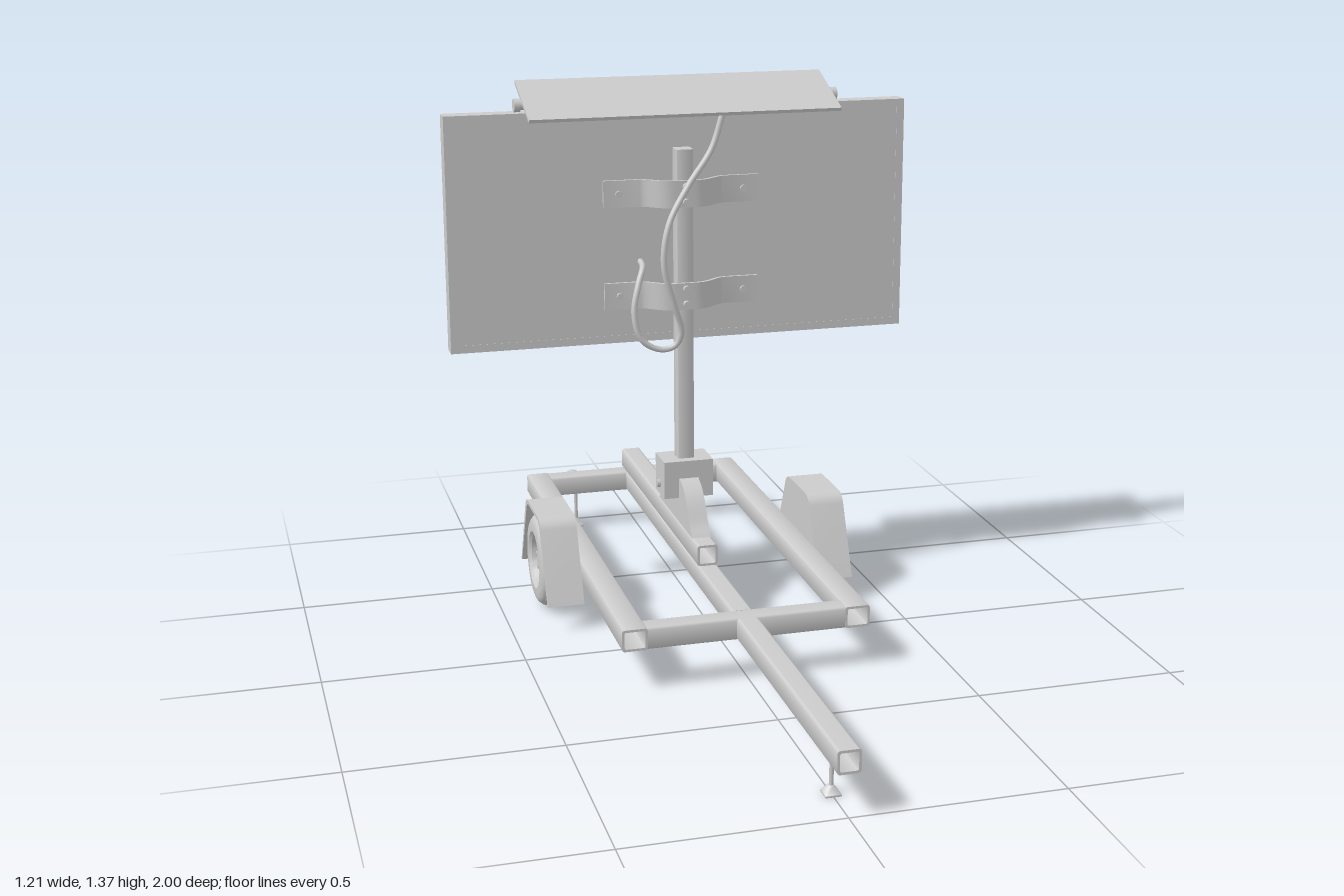
import * as THREE from 'three';
import { toCreasedNormals } from 'three/addons/utils/BufferGeometryUtils.js';

const grey = new THREE.MeshStandardMaterial({ color: 0xcccccc, side: THREE.DoubleSide });

function add(parent, name, geometry, x = 0, y = 0, z = 0) {
  const mesh = new THREE.Mesh(geometry, grey);
  mesh.name = name;
  mesh.position.set(x, y, z);
  parent.add(mesh);
  return mesh;
}

const box = (w, h, d) => new THREE.BoxGeometry(w, h, d);

// Cylinder lying along 'x', 'y' or 'z'
function rod(r, length, axis = 'y', sides = 20, r2 = r) {
  const g = new THREE.CylinderGeometry(r2, r, length, sides);
  if (axis === 'x') g.rotateZ(-Math.PI / 2);
  if (axis === 'z') g.rotateX(Math.PI / 2);
  return g;
}

function roundedRect(target, w, h, r) {
  const a = w / 2 - r, b = h / 2 - r;
  target.absarc(a, b, r, 0, Math.PI / 2);
  target.absarc(-a, b, r, Math.PI / 2, Math.PI);
  target.absarc(-a, -b, r, Math.PI, Math.PI * 1.5);
  target.absarc(a, -b, r, Math.PI * 1.5, Math.PI * 2);
  target.closePath();
  return target;
}

// Extrusion centred on its own depth; axis 'x' maps shape x to -z
function extrude(shape, depth, axis = 'z', curveSegments = 6) {
  const g = new THREE.ExtrudeGeometry(shape, { depth, bevelEnabled: false, curveSegments });
  g.translate(0, 0, -depth / 2);
  if (axis === 'x') g.rotateY(Math.PI / 2);
  if (axis === 'y') g.rotateX(-Math.PI / 2);
  return toCreasedNormals(g, 0.6);
}

// Square tube, open at both ends
function tube(w, h, length, axis = 'z') {
  const shape = roundedRect(new THREE.Shape(), w, h, 0.007);
  shape.holes.push(roundedRect(new THREE.Path(), w - 0.012, h - 0.012, 0.004));
  return extrude(shape, length, axis);
}

// Trapezoid mudguard outline with rounded top corners, drawn around the wheel centre line
function guardOutline(target, inset) {
  const foot = 0.188 - inset, top = 0.27 - inset, shoulder = 0.095 - inset * 0.5, base = 0.065;
  target.moveTo(-foot, base);
  target.lineTo(-shoulder - 0.012, top - 0.025);
  target.quadraticCurveTo(-shoulder, top, -shoulder + 0.028, top);
  target.lineTo(shoulder - 0.028, top);
  target.quadraticCurveTo(shoulder, top, shoulder + 0.012, top - 0.025);
  target.lineTo(foot, base);
  return target;
}

const axleZ = -0.353, barY = 0.128;

function addChassis(root) {
  const g = new THREE.Group();
  g.name = 'chassis';
  root.add(g);
  for (const s of [-1, 1]) add(g, 'sideRail', tube(0.063, 0.055, 1.232), s * 0.2795, barY, -0.366);
  for (const z of [0.222, -0.954]) add(g, 'crossRail', tube(0.055, 0.055, 0.5, 'x'), 0, barY, z);
  add(g, 'drawbar', tube(0.054, 0.055, 0.75), 0, barY, 0.625);
  add(g, 'centreRail', tube(0.054, 0.055, 1.13), 0, barY, -0.366);
  add(g, 'upperRail', tube(0.054, 0.055, 0.862), 0, 0.183, -0.549);
  // Stabiliser legs with pyramid feet
  for (const [x, z] of [[0, 0.885], [-0.175, -0.945], [0.175, -0.945]]) {
    add(g, 'legRod', rod(0.005, 0.09, 'y', 12), x, 0.06, z);
    add(g, 'legFoot', rod(0.026, 0.018, 'y', 4, 0.008).rotateY(Math.PI / 4), x, 0.013, z);
    add(g, 'legPad', box(0.037, 0.004, 0.037), x, 0.002, z);
  }
  for (const s of [-1, 1]) add(g, 'rearReflector', rod(0.026, 0.02, 'z', 24), s * 0.175, barY, -0.99);
}

function addWheel(root, s) {
  const g = new THREE.Group();
  g.name = s > 0 ? 'leftWheel' : 'rightWheel';
  root.add(g);
  // Tyre and dished rim in one turned profile, outer face at the end
  const p = [[0, -0.03], [0.068, -0.03], [0.075, -0.037]].map(([x, y]) => new THREE.Vector2(x, y));
  for (const e of [-1, 1]) for (let i = 0; i <= 6; i++) {
    const a = (e < 0 ? i - 6 : i) * Math.PI / 12;
    p.push(new THREE.Vector2(0.092 + 0.031 * Math.cos(a), e * 0.006 + 0.031 * Math.sin(a)));
  }
  for (const [x, y] of [[0.075, 0.037], [0.067, 0.03], [0.062, 0.01], [0.03, 0.014], [0.026, 0.024], [0, 0.024]])
    p.push(new THREE.Vector2(x, y));
  const wheel = toCreasedNormals(new THREE.LatheGeometry(p, 40), 0.6).rotateZ(-s * Math.PI / 2);
  add(g, 'tyreAndRim', wheel, s * 0.373, barY, axleZ);
  for (let i = 0; i < 8; i++) {
    const a = i * Math.PI / 4;
    add(g, 'wheelBolt', rod(0.006, 0.014, 'x', 8), s * 0.388, barY + 0.045 * Math.sin(a), axleZ + 0.045 * Math.cos(a));
  }
  add(g, 'stubAxle', rod(0.018, 0.06, 'x'), s * 0.325, barY, axleZ);
  // Mudguard: curved cover and closed inner plate
  const cover = guardOutline(new THREE.Shape(), 0);
  const t = 0.01;
  cover.lineTo(0.188 - t, 0.065);
  cover.lineTo(0.102 - t, 0.24);
  cover.quadraticCurveTo(0.092 - t, 0.26, 0.06, 0.26);
  cover.lineTo(-0.06, 0.26);
  cover.quadraticCurveTo(-0.092 + t, 0.26, -0.102 + t, 0.24);
  cover.lineTo(-0.188 + t, 0.065);
  add(g, 'mudguardCover', extrude(cover, 0.095, 'x'), s * 0.3625, 0, axleZ);
  add(g, 'mudguardPlate', extrude(guardOutline(new THREE.Shape(), 0.004), 0.008, 'x'), s * 0.319, 0, axleZ);
  for (const e of [-1, 1]) add(g, 'mudguardBolt', rod(0.008, 0.008, 'x', 12), s * 0.326, barY, axleZ + e * 0.135);
}

function addMast(root) {
  const g = new THREE.Group();
  g.name = 'mast';
  root.add(g);
  // Curved gusset on the upper rail
  const gusset = new THREE.Shape();
  gusset.moveTo(-0.175, 0.21);
  gusset.lineTo(-0.165, 0.222);
  gusset.bezierCurveTo(-0.13, 0.25, -0.12, 0.325, -0.04, 0.333);
  gusset.lineTo(0.04, 0.333);
  gusset.bezierCurveTo(0.12, 0.325, 0.13, 0.25, 0.165, 0.222);
  gusset.lineTo(0.175, 0.21);
  add(g, 'gusset', extrude(gusset, 0.05, 'x', 12), 0, 0, axleZ);
  // Saddle clamp over the gusset
  add(g, 'saddleTop', box(0.132, 0.047, 0.096), 0, 0.3565, axleZ);
  for (const s of [-1, 1]) add(g, 'saddleCheek', box(0.039, 0.053, 0.096), s * 0.0465, 0.3065, axleZ);
  add(g, 'saddleBolt', rod(0.006, 0.15, 'x', 12), 0, 0.31, axleZ);
  for (const s of [-1, 1]) add(g, 'boltHead', rod(0.011, 0.009, 'x', 6), s * 0.071, 0.31, axleZ);
  add(g, 'post', tube(0.045, 0.045, 0.83, 'y'), 0, 0.785, axleZ);
  add(g, 'postCap', box(0.036, 0.006, 0.036), 0, 1.197, axleZ);
  // Bowed straps holding the sign, with bolts
  const strap = new THREE.Shape();
  strap.moveTo(-0.205, 0.376);
  strap.lineTo(-0.12, 0.376);
  strap.bezierCurveTo(-0.08, 0.376, -0.07, 0.33, -0.024, 0.33);
  strap.lineTo(0.024, 0.33);
  strap.bezierCurveTo(0.07, 0.33, 0.08, 0.376, 0.12, 0.376);
  strap.lineTo(0.205, 0.376);
  strap.lineTo(0.205, 0.368);
  strap.lineTo(0.12, 0.368);
  strap.bezierCurveTo(0.085, 0.368, 0.075, 0.322, 0.026, 0.322);
  strap.lineTo(-0.026, 0.322);
  strap.bezierCurveTo(-0.075, 0.322, -0.085, 0.368, -0.12, 0.368);
  strap.lineTo(-0.205, 0.368);
  for (const y of [0.82, 1.087]) {
    add(g, 'strap', extrude(strap, 0.07, 'y', 10), 0, y, 0);
    for (const s of [-1, 1]) {
      add(g, 'strapBolt', rod(0.009, 0.008, 'z', 12), s * 0.165, y, -0.365);
      add(g, 'postBolt', rod(0.009, 0.014, 'z', 12), 0, y + s * 0.02, -0.317);
    }
  }
}

function addSign(root) {
  const g = new THREE.Group();
  g.name = 'sign';
  root.add(g);
  const rect = (t, w, h) => t.moveTo(-w, -h).lineTo(w, -h).lineTo(w, h).lineTo(-w, h).closePath();
  const ring = new THREE.Shape();
  rect(ring, 0.605, 0.303);
  const hole = new THREE.Path();
  rect(hole, 0.585, 0.283);
  ring.holes.push(hole);
  add(g, 'signBezel', extrude(ring, 0.05), 0, 0.998, -0.4);
  add(g, 'signScreen', box(1.172, 0.568, 0.04), 0, 0.998, -0.396);

  // Tilted solar panel on two pivots above the sign
  const panel = add(g, 'solarPanel', box(0.81, 0.009, 0.204), 0, 1.329, -0.39);
  panel.rotation.x = 0.375;
  for (const s of [-1, 1]) {
    add(g, 'solarPivot', rod(0.012, 0.06, 'x'), s * 0.39, 1.318, -0.402);
    add(g, 'solarPivotCap', rod(0.017, 0.016, 'x'), s * 0.416, 1.318, -0.402);
    add(g, 'solarBracket', box(0.016, 0.028, 0.03), s * 0.375, 1.31, -0.402);
  }
  // Cable looping from the panel down to the sign
  const path = [
    [0.105, 1.3, -0.338], [0.07, 1.2, -0.33], [0, 1.11, -0.303], [-0.058, 1.02, -0.272],
    [-0.075, 0.92, -0.258], [-0.05, 0.82, -0.26], [-0.027, 0.74, -0.27], [-0.042, 0.702, -0.28],
    [-0.08, 0.694, -0.284], [-0.128, 0.722, -0.287], [-0.145, 0.79, -0.294], [-0.13, 0.86, -0.31],
    [-0.112, 0.9, -0.335], [-0.108, 0.908, -0.378],
  ].map(p => new THREE.Vector3(...p));
  add(g, 'cable', new THREE.TubeGeometry(new THREE.CatmullRomCurve3(path), 80, 0.008, 10));
}

export function createModel() {
  const root = new THREE.Group();
  root.name = 'signTrailer';
  addChassis(root);
  for (const s of [-1, 1]) addWheel(root, s);
  addMast(root);
  addSign(root);
  return root;
}
